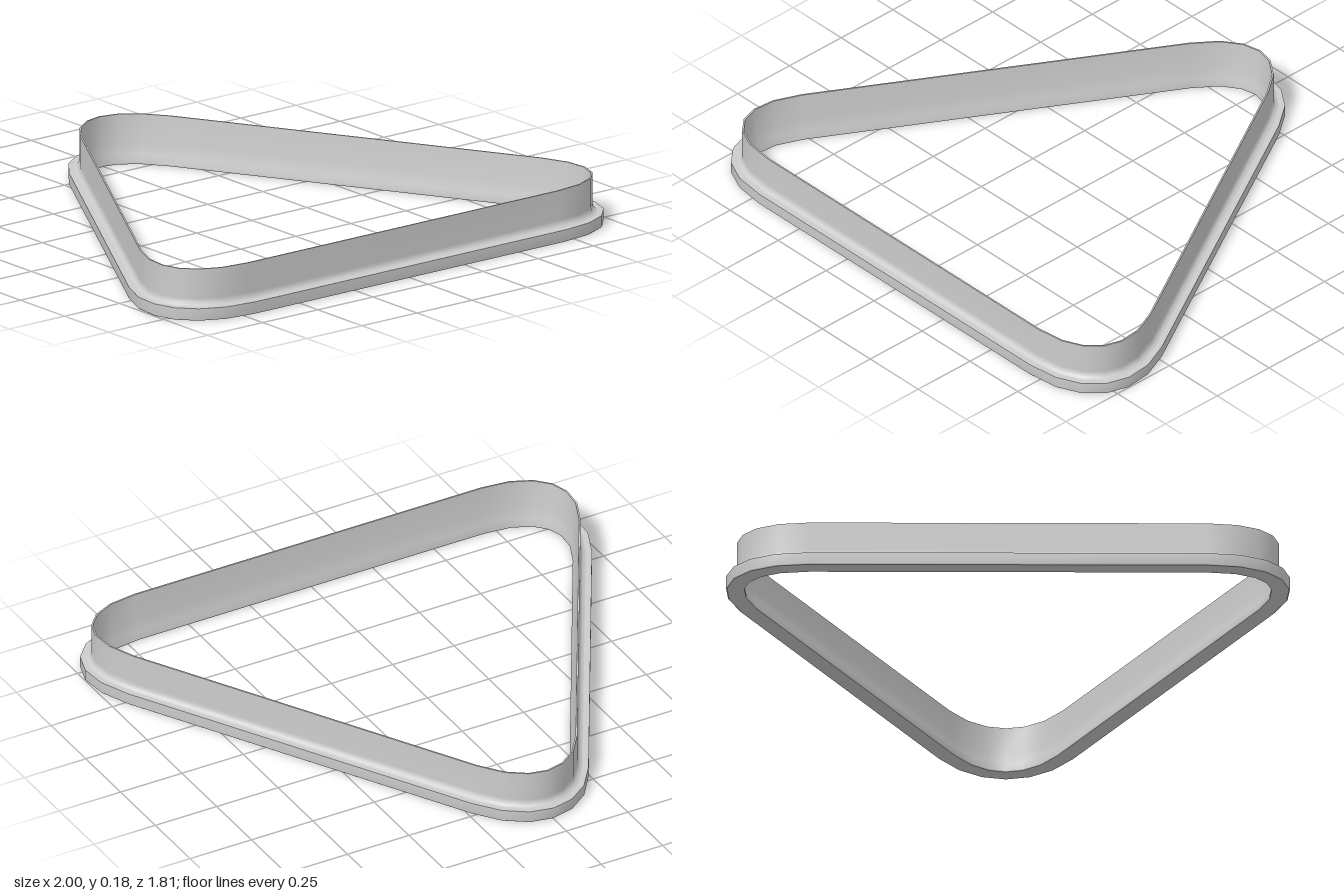
import * as THREE from 'three';

const R = 1.368;         // centre to sharp corner of the triangle
const CENTRE_Z = 0.217;  // centre of the triangle
const L = 0.48;          // length of each side used up by a rounded corner
const K = 0.5523;        // curve handle ratio
const STEPS = 6;         // segments per corner

// Outer outline: three rounded corners, each point with its outward normal
function outline() {
  const corner = (k) => {
    const a = Math.PI / 6 - k * Math.PI * 2 / 3;
    return new THREE.Vector2(R * Math.cos(a), CENTRE_Z + R * Math.sin(a));
  };
  const points = [];
  for (let k = 0; k < 3; k++) {
    const c = corner(k);
    const back = corner(k - 1).sub(c).normalize();
    const ahead = corner(k + 1).sub(c).normalize();
    const at = (dir, d) => c.clone().addScaledVector(dir, d);
    const curve = new THREE.CubicBezierCurve(
      at(back, L), at(back, L * (1 - K)), at(ahead, L * (1 - K)), at(ahead, L));
    for (let i = 0; i <= STEPS; i++) {
      const p = curve.getPoint(i / STEPS);
      const t = curve.getTangent(i / STEPS);
      points.push({ x: p.x, z: p.y, nx: -t.y, nz: t.x });
    }
  }
  return points;
}

// Sweep a profile of [inset, height] pairs around the outline
function sweep(path, profile) {
  const pos = [], index = [];
  const n = path.length, m = profile.length;
  for (const p of path) {
    for (const [d, y] of profile) pos.push(p.x - p.nx * d, y, p.z - p.nz * d);
  }
  for (let i = 0; i < n; i++) {
    const next = (i + 1) % n;
    for (let j = 0; j < m - 1; j++) {
      const a = i * m + j, c = next * m + j;
      index.push(a, a + 1, c, a + 1, c + 1, c);
    }
  }
  const g = new THREE.BufferGeometry();
  g.setAttribute('position', new THREE.Float32BufferAttribute(pos, 3));
  g.setIndex(index);
  g.computeVertexNormals();
  return g;
}

export function createModel() {
  const group = new THREE.Group();
  group.name = 'triangularCutter';
  const material = new THREE.MeshStandardMaterial({ color: 0xcccccc });
  const path = outline();

  // Each strip is smooth in itself; edges between strips stay sharp
  const strips = {
    cuttingEdge: [[0.046, 0.18], [0.04, 0.18]],
    outerWall: [[0.04, 0.18], [0.04, 0.07], [0.038, 0.058], [0.032, 0.049], [0.022, 0.045]],
    flangeTop: [[0.022, 0.045], [0, 0.045]],
    flangeSide: [[0, 0.045], [0, 0.004], [0.004, 0]],
    flangeBottom: [[0.004, 0], [0.066, 0]],
    innerWall: [[0.066, 0], [0.068, 0.006], [0.062, 0.035], [0.053, 0.075], [0.046, 0.18]],
  };
  for (const [name, profile] of Object.entries(strips)) {
    const mesh = new THREE.Mesh(sweep(path, profile), material);
    mesh.name = name;
    group.add(mesh);
  }
  return group;
}
